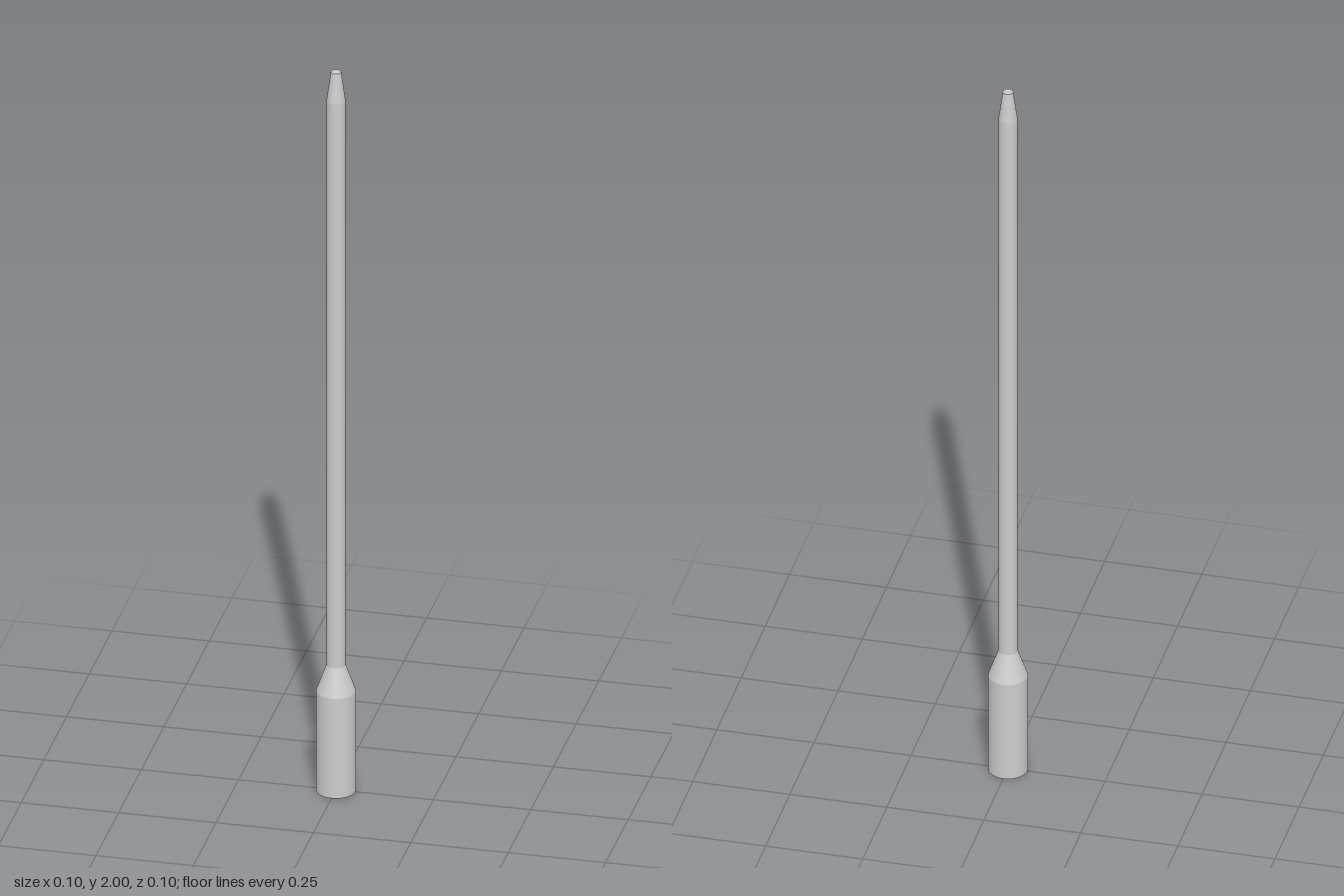
import * as THREE from 'three';

const SIDES = 64;

export function createModel() {
  const model = new THREE.Group();
  model.name = 'probe';
  const material = new THREE.MeshStandardMaterial({ color: 0xcccccc });

  // Adds a round section between two heights, tapering from r0 to r1
  function addSection(name, y0, y1, r0, r1, openEnded) {
    const geometry = new THREE.CylinderGeometry(r1, r0, y1 - y0, SIDES, 1, openEnded);
    const mesh = new THREE.Mesh(geometry, material);
    mesh.name = name;
    mesh.position.y = (y0 + y1) / 2;
    model.add(mesh);
  }

  // Flat disc closing an end; facing is 1 for up, -1 for down
  function addCap(name, y, radius, facing) {
    const mesh = new THREE.Mesh(new THREE.CircleGeometry(radius, SIDES), material);
    mesh.name = name;
    mesh.rotation.x = -facing * Math.PI / 2;
    mesh.position.y = y;
    model.add(mesh);
  }

  // Thick handle and its shoulder
  addCap('handleEnd', 0, 0.05, -1);
  addSection('handle', 0, 0.277, 0.05, 0.05, true);
  addSection('shoulder', 0.277, 0.35, 0.05, 0.024, true);

  // Long shaft and blunt tapered tip
  addSection('shaft', 0.35, 1.92, 0.024, 0.024, true);
  addSection('tip', 1.92, 2, 0.024, 0.013, true);
  addCap('tipEnd', 2, 0.013, 1);

  return model;
}
